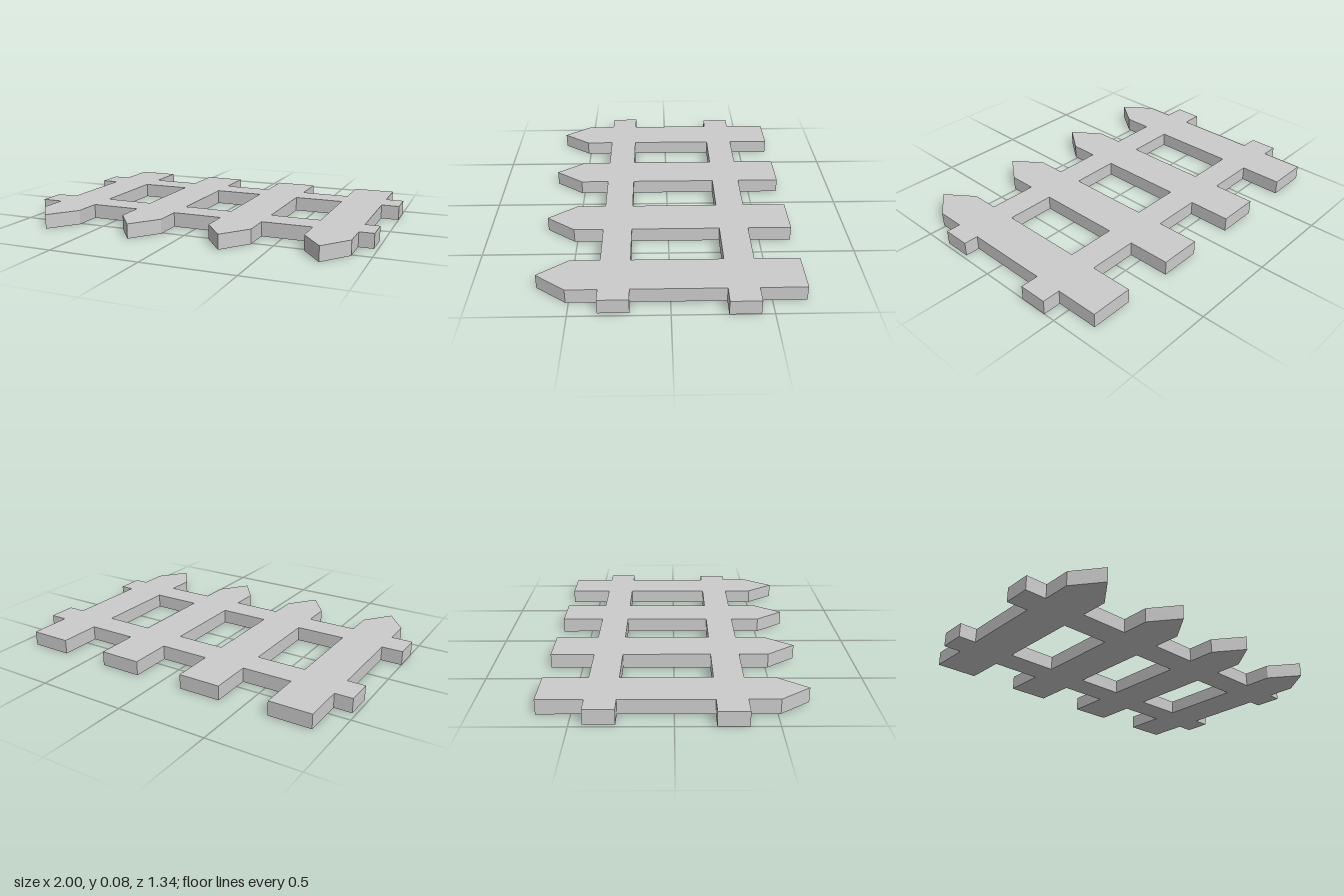
import * as THREE from 'three';

export function createModel() {
  const group = new THREE.Group();
  group.name = 'picketFence';

  const thickness = 0.08;
  const half = 0.118; // half the width of a picket
  const pickets = [0, 1, 2, 3].map((i) => -0.763 + i * 0.515);
  const end = 0.672, shoulder = 0.515; // picket tip and start of its point
  // Rails: inner and outer edges, left and right ends (plan y = -z)
  const back = { inner: 0.278, outer: 0.435, x0: -0.98, x1: 1 };
  const front = { inner: -0.2, outer: -0.356, x0: -1, x1: 0.98 };

  // Outline, counter-clockwise: pointed front ends, right side, square back ends, left side
  const outline = [[front.x0, front.outer]];
  for (const x of pickets) {
    outline.push([x - half, front.outer], [x - half, -shoulder], [x, -end],
      [x + half, -shoulder], [x + half, front.outer]);
  }
  const right = pickets[3] + half, left = pickets[0] - half;
  outline.push([front.x1, front.outer], [front.x1, front.inner], [right, front.inner],
    [right, back.inner], [back.x1, back.inner], [back.x1, back.outer]);
  for (const x of [...pickets].reverse()) {
    outline.push([x + half, back.outer], [x + half, end], [x - half, end], [x - half, back.outer]);
  }
  outline.push([back.x0, back.outer], [back.x0, back.inner], [left, back.inner],
    [left, front.inner], [front.x0, front.inner]);

  const toPoints = (list) => list.map(([x, y]) => new THREE.Vector2(x, y));
  const shape = new THREE.Shape(toPoints(outline));

  // Openings between neighbouring pickets and the two rails
  for (let i = 0; i < 3; i++) {
    const a = pickets[i] + half, b = pickets[i + 1] - half;
    shape.holes.push(new THREE.Path(toPoints([
      [a, front.inner], [a, back.inner], [b, back.inner], [b, front.inner],
    ])));
  }

  // Flat panel lying on the ground, points toward the front
  const geometry = new THREE.ExtrudeGeometry(shape, { depth: thickness, bevelEnabled: false });
  geometry.rotateX(-Math.PI / 2);
  const panel = new THREE.Mesh(geometry,
    new THREE.MeshStandardMaterial({ color: 0xcccccc, flatShading: true }));
  panel.name = 'picketsAndRails';
  group.add(panel);
  return group;
}
